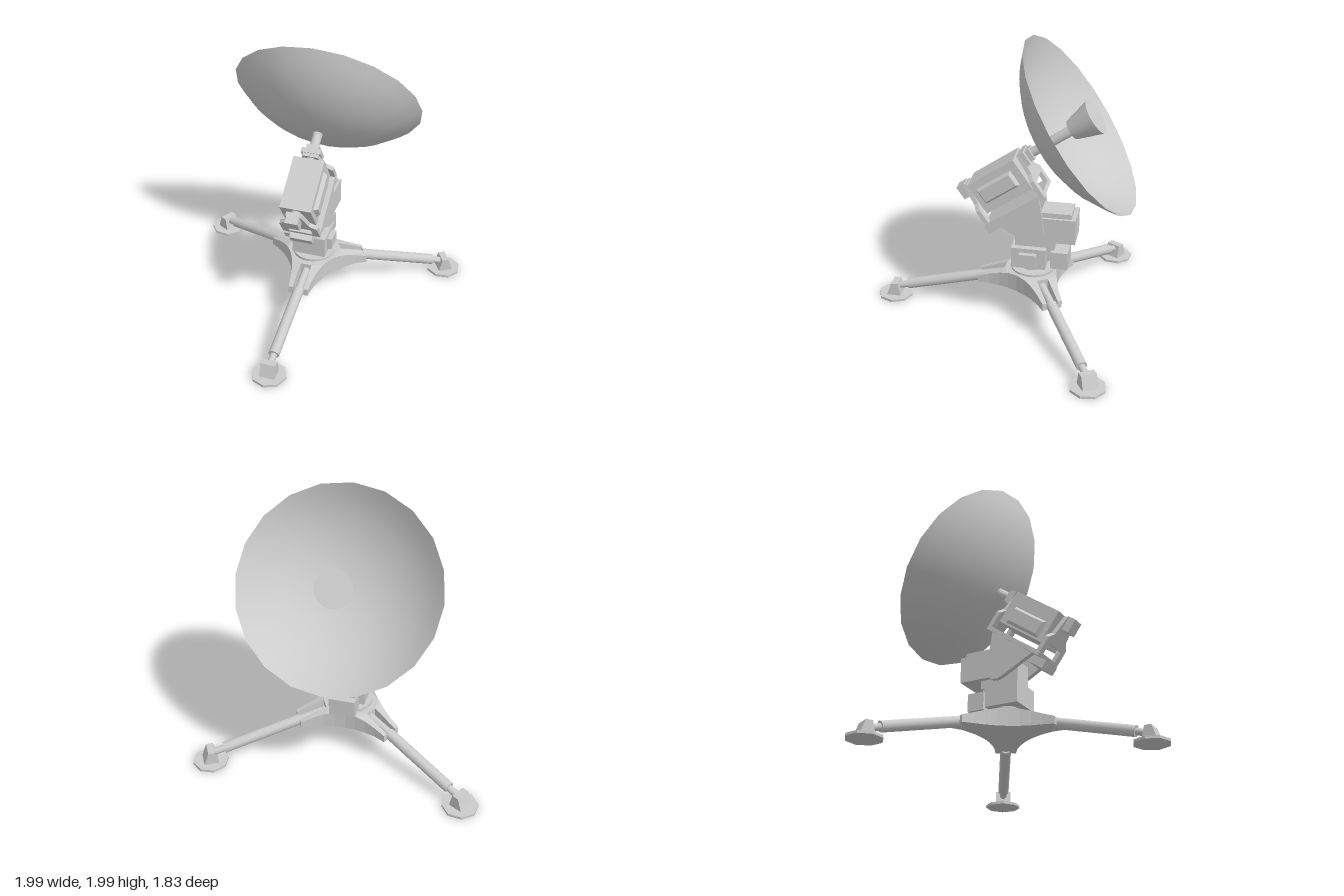
import * as THREE from 'three';

const mat = new THREE.MeshStandardMaterial({ color: 0xcccccc });
const flat = new THREE.MeshStandardMaterial({ color: 0xcccccc, flatShading: true });
const thin = new THREE.MeshStandardMaterial({ color: 0xcccccc, side: THREE.DoubleSide });

function add(parent, name, geo, material = flat) {
  const m = new THREE.Mesh(geo, material);
  m.name = name;
  parent.add(m);
  return m;
}

// Box given by its min/max extents on each axis
function box(parent, name, [x0, x1], [y0, y1], [z0, z1]) {
  const g = new THREE.BoxGeometry(x1 - x0, y1 - y0, z1 - z0);
  g.translate((x0 + x1) / 2, (y0 + y1) / 2, (z0 + z1) / 2);
  return add(parent, name, g);
}

// Round bar between two points
function rod(parent, name, a, b, r0, r1 = r0, sides = 14) {
  const A = new THREE.Vector3(...a), B = new THREE.Vector3(...b);
  const m = add(parent, name, new THREE.CylinderGeometry(r1, r0, A.distanceTo(B), sides), mat);
  m.position.copy(A).add(B).multiplyScalar(0.5);
  m.quaternion.setFromUnitVectors(new THREE.Vector3(0, 1, 0), B.sub(A).normalize());
  return m;
}

const poly = pts => new THREE.Shape(pts.map(p => new THREE.Vector2(...p)));
const extrude = (shape, depth) => new THREE.ExtrudeGeometry(shape, { depth, bevelEnabled: false, curveSegments: 8 });

// Side profile of [z, y] points, extruded across x and centred on x
function sideProfile(parent, name, pts, width, x = 0) {
  const g = extrude(poly(pts), width).rotateY(-Math.PI / 2);
  return add(parent, name, g.translate(x + width / 2, 0, 0));
}

// Three-armed plan with concave sides; optional slot along each arm
function tripodPlan(slotted) {
  const s = new THREE.Shape();
  const at = (a, r, w) => [r * Math.cos(a) - w * Math.sin(a), r * Math.sin(a) + w * Math.cos(a)];
  for (let i = 0; i < 3; i++) {
    const a = -Math.PI / 2 + i * 2 * Math.PI / 3;
    if (i === 0) s.moveTo(...at(a, 0.38, -0.07));
    if (slotted) {
      s.lineTo(...at(a, 0.38, -0.04));
      s.lineTo(...at(a, 0.19, -0.04));
      s.lineTo(...at(a, 0.19, 0.04));
      s.lineTo(...at(a, 0.38, 0.04));
    }
    s.lineTo(...at(a, 0.38, 0.07));
    const n = a + 2 * Math.PI / 3;
    s.quadraticCurveTo(...at(a + Math.PI / 3, 0.1, 0), ...at(n, 0.38, -0.07));
  }
  return s;
}

function makeBase() {
  const base = new THREE.Group();
  base.name = 'tripodBase';
  base.position.z = -0.215;

  // Hub whose top slopes down along the arms
  const hub = extrude(tripodPlan(true), 1).rotateX(-Math.PI / 2);
  const p = hub.attributes.position;
  for (let i = 0; i < p.count; i++) {
    const t = THREE.MathUtils.clamp((Math.hypot(p.getX(i), p.getZ(i)) - 0.16) / 0.22, 0, 1);
    p.setY(i, p.getY(i) > 0.5 ? 0.35 - 0.085 * t : 0.228 - 0.015 * t);
  }
  hub.computeVertexNormals();
  add(base, 'hub', hub);
  add(base, 'hubFloor', extrude(tripodPlan(false), 0.015).rotateX(-Math.PI / 2).translate(0, 0.218, 0));
  const disc = (name, r, y0, y1) =>
    add(base, name, new THREE.CylinderGeometry(r, r, y1 - y0, 24).translate(0, (y0 + y1) / 2, 0), mat);
  disc('hubTop', 0.15, 0.25, 0.355);
  disc('turntable', 0.08, 0.35, 0.395);

  for (let i = 0; i < 3; i++) {
    const leg = new THREE.Group();
    leg.name = 'leg';
    leg.rotation.y = i * 2 * Math.PI / 3;
    base.add(leg);
    rod(leg, 'legPivot', [0, 0.285, 0.18], [0, 0.24, 0.37], 0.028);
    rod(leg, 'legTube', [0, 0.24, 0.36], [0, 0.1, 0.91], 0.038);
    rod(leg, 'legTip', [0, 0.1, 0.9], [0, 0.073, 1.0], 0.024);
    add(leg, 'footPad', new THREE.CylinderGeometry(0.123, 0.123, 0.018, 8).translate(0, 0.009, 1.01));
    sideProfile(leg, 'footBracket',
      [[0.96, 0.018], [1.062, 0.018], [1.03, 0.112], [0.982, 0.112]], 0.106);
  }
  return base;
}

function makePedestal() {
  const g = new THREE.Group();
  g.name = 'pedestal';
  box(g, 'lowerHousing', [-0.12, 0.12], [0.39, 0.54], [-0.32, -0.08]);
  box(g, 'sidePanel', [0.1, 0.155], [0.425, 0.51], [-0.26, -0.14]);
  box(g, 'rearLink', [-0.06, 0.06], [0.43, 0.54], [-0.37, -0.3]);
  box(g, 'rearMotor', [-0.09, 0.09], [0.39, 0.515], [-0.47, -0.35]);
  box(g, 'neck', [-0.075, 0.075], [0.54, 0.7], [-0.38, -0.1]);
  box(g, 'rearBox', [-0.11, 0.11], [0.6, 0.78], [-0.52, -0.29]);
  box(g, 'rearBoxLid', [-0.09, 0.09], [0.78, 0.815], [-0.49, -0.28]);
  // Cheek plates that carry the cradle
  const cheek = [[0.03, 0.71], [-0.27, 0.93], [-0.31, 0.66], [-0.3, 0.605], [-0.275, 0.578],
    [-0.23, 0.575], [-0.17, 0.6], [-0.04, 0.675]];
  for (const s of [-1, 1]) sideProfile(g, 'cheekPlate', cheek, 0.036, s * 0.107);
  rod(g, 'tiltPivot', [-0.1, 0.64, -0.25], [0.1, 0.64, -0.25], 0.055);
  return g;
}

// Raised cover with sloping edges on the side of the drive box
function cover(parent, side, y, z, w, h) {
  const g = new THREE.BoxGeometry(0.03, h, w);
  const p = g.attributes.position;
  for (let i = 0; i < p.count; i++) {
    if (p.getX(i) * side < 0) continue;
    p.setY(i, p.getY(i) - Math.sign(p.getY(i)) * 0.02);
    p.setZ(i, p.getZ(i) - Math.sign(p.getZ(i)) * 0.02);
  }
  add(parent, 'sideCover', g.translate(side * 0.121, y, z));
}

// Tilted head: the pointing axis is local -z
function makeHead() {
  const h = new THREE.Group();
  h.name = 'tiltedHead';
  h.position.y = 1.075;
  h.rotation.x = 0.607;

  box(h, 'driveBox', [-0.11, 0.11], [-0.192, 0.048], [-0.14, 0.24]);
  cover(h, 1, -0.065, 0.06, 0.29, 0.13);
  cover(h, -1, -0.115, 0.06, 0.29, 0.13);

  // U-shaped cradle with two tapered arms
  box(h, 'cradleFloor', [-0.135, 0.135], [-0.28, -0.25], [-0.185, 0.29]);
  const half = [[0.135, -0.28], [0.135, -0.14], [0.085, -0.1], [0.055, 0.045]];
  const arm = poly([...half, ...half.map(([x, y]) => [-x, y]).reverse()]);
  arm.holes.push(new THREE.Path([[-0.085, -0.25], [-0.085, -0.17], [0.085, -0.17], [0.085, -0.25]]
    .map(q => new THREE.Vector2(...q))));
  for (const z of [0.26, -0.185]) add(h, 'cradleArm', extrude(arm, 0.03).translate(0, 0, z));
  box(h, 'cradleFoot', [-0.08, 0.08], [-0.338, -0.28], [0.2, 0.332]);
  box(h, 'frontBearing', [-0.045, 0.045], [-0.045, 0.055], [0.28, 0.345]);
  box(h, 'rearBearing', [-0.07, 0.07], [-0.05, 0.05], [-0.215, -0.18]);
  box(h, 'rearBearingCap', [-0.045, 0.045], [-0.04, 0.04], [-0.25, -0.21]);
  rod(h, 'axle', [0, 0, 0.3], [0, 0, -0.36], 0.033);

  // Spherical reflector
  const R = 0.914, depth = 0.29, n = 8;
  const full = Math.asin(0.67 / R);
  const profile = [];
  for (let i = 0; i <= n; i++) {
    const a = full * i / n;
    profile.push(new THREE.Vector2(R * Math.sin(a), R * (1 - Math.cos(a))));
  }
  const dish = new THREE.LatheGeometry(profile, 20).rotateX(-Math.PI / 2);
  add(h, 'dish', dish.translate(0, 0, depth - 0.639), thin);

  rod(h, 'feedStem', [0, 0, -0.34], [0, 0, -0.58], 0.035);
  rod(h, 'feedHorn', [0, 0, -0.566], [0, 0, -0.751], 0.07, 0.125, 20);
  return h;
}

export function createModel() {
  const model = new THREE.Group();
  model.name = 'satelliteDish';
  model.add(makeBase(), makePedestal(), makeHead());
  return model;
}
